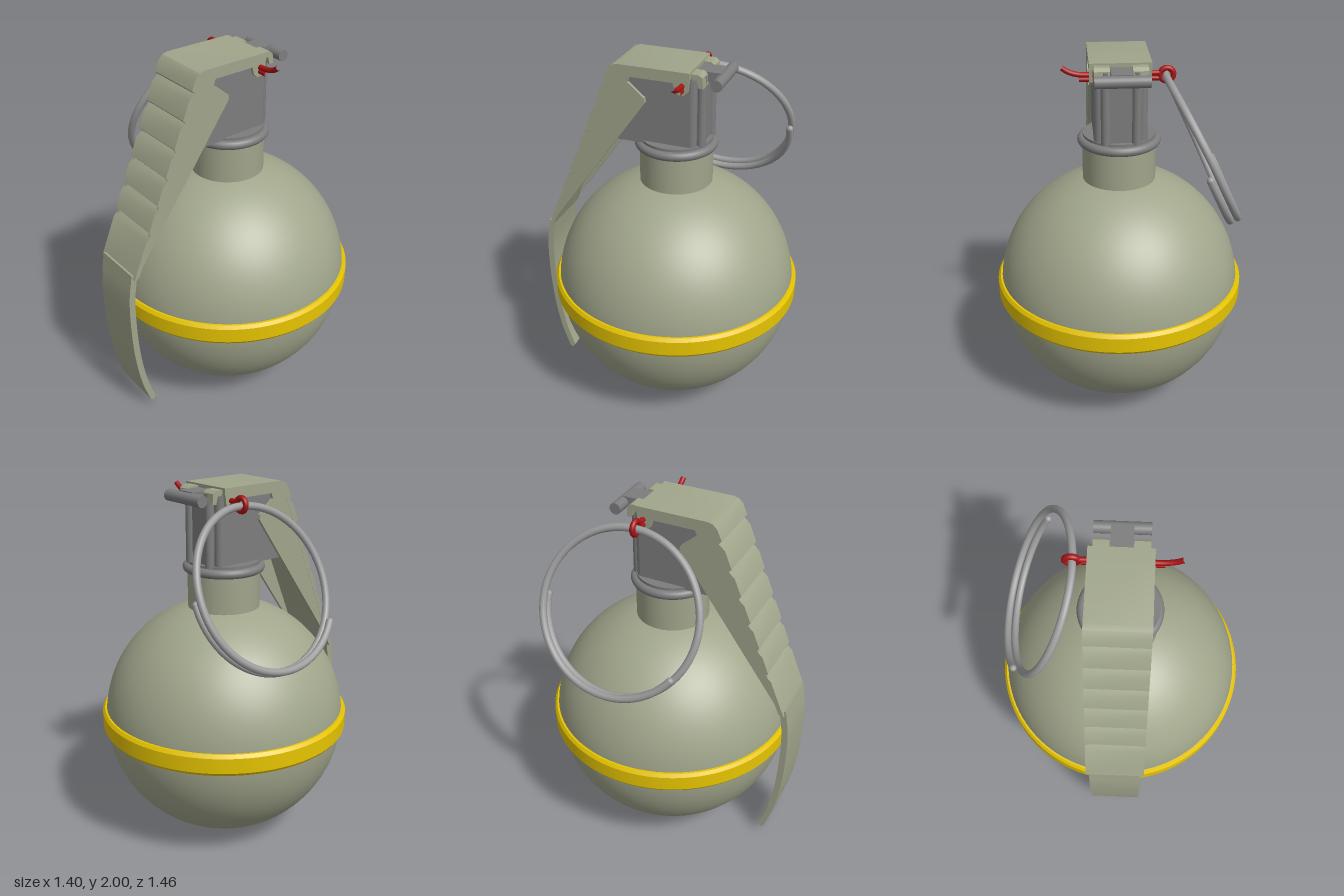
import * as THREE from 'three';
import { toCreasedNormals } from 'three/addons/utils/BufferGeometryUtils.js';

const mat = (color) => new THREE.MeshStandardMaterial({ color });
const olive = mat(0xa0a58b), grey = mat(0x7d7d7d), steel = mat(0x9c9c9c);
const red = mat(0xa81414), yellow = mat(0xe6c400);
const AXIS_Z = -0.03; // the round body sits slightly behind the origin

export function createModel() {
  const model = new THREE.Group();

  const add = (name, geo, material, x = 0, y = 0, z = 0) => {
    const mesh = new THREE.Mesh(geo, material);
    mesh.name = name;
    mesh.position.set(x, y, z);
    model.add(mesh);
    return mesh;
  };
  const box = (name, w, h, d, m, x, y, z) => add(name, new THREE.BoxGeometry(w, h, d), m, x, y, z);
  // Side profile of [z, y] points, extruded across x and centred on x = 0
  const sideExtrude = (points, width) => {
    const shape = new THREE.Shape(points.map(([z, y]) => new THREE.Vector2(z, y)));
    const geo = new THREE.ExtrudeGeometry(shape, { depth: width, bevelEnabled: false });
    geo.translate(0, 0, -width / 2).rotateY(-Math.PI / 2);
    return toCreasedNormals(geo, 0.5);
  };
  const lathe = (points) => toCreasedNormals(
    new THREE.LatheGeometry(points.map(([r, y]) => new THREE.Vector2(r, y)), 96), 0.3);
  const tube = (points, radius, segments) => new THREE.TubeGeometry(
    new THREE.CatmullRomCurve3(points.map((p) => new THREE.Vector3(...p))), segments, radius, 12);

  // Round body, belt and neck
  add('body', new THREE.SphereGeometry(0.677, 96, 64), olive, 0, 0.68, AXIS_Z);
  add('belt', lathe([[0.66, 0.625], [0.685, 0.625], [0.698, 0.643], [0.698, 0.727],
    [0.685, 0.745], [0.66, 0.745]]), yellow, 0, 0, AXIS_Z);
  add('neck', new THREE.CylinderGeometry(0.199, 0.199, 0.32, 64), olive, 0, 1.41, AXIS_Z);
  const gasket = add('gasket', new THREE.TorusGeometry(0.2, 0.025, 16, 72), grey, 0, 1.55, AXIS_Z);
  gasket.rotation.x = Math.PI / 2;
  add('neckPlate', new THREE.CylinderGeometry(0.195, 0.195, 0.03, 64), grey, 0, 1.573, AXIS_Z);

  // Fuze housing, overhanging the neck at the front, with a ribbed back
  add('fuzeHousing', sideExtrude([[0.26, 1.575], [0.26, 1.66], [0.17, 1.96], [-0.15, 1.96],
    [-0.15, 1.575]], 0.28), grey);
  box('fuzeBack', 0.2, 0.39, 0.06, grey, 0, 1.775, -0.17);
  for (const s of [-1, 1]) {
    add('fuzeRib', new THREE.CylinderGeometry(0.025, 0.025, 0.39, 16), grey, s * 0.08, 1.775, -0.195);
    add('fuzeCorner', new THREE.CylinderGeometry(0.03, 0.03, 0.39, 16), grey, s * 0.11, 1.775, -0.15);
  }

  // Hinge at the back of the fuze
  const hinge = add('hingePin', new THREE.CylinderGeometry(0.031, 0.031, 0.28, 24), grey, 0, 1.945, -0.287);
  hinge.rotation.z = Math.PI / 2;
  box('hingeArm', 0.11, 0.055, 0.14, grey, 0, 1.953, -0.215);

  // Lever: stepped strip over the top and down the front
  const slopeZ = (y) => 0.31 + (1.92 - y) * 0.406;
  const outer = [[-0.155, 2], [0.235, 2], [0.265, 1.992], [0.288, 1.97]];
  for (let i = 0; i < 6; i++) {
    const y = 1.9 - i * 0.141;
    outer.push([slopeZ(y + 0.012), y + 0.012], [slopeZ(y) - 0.02, y - 0.005],
      [slopeZ(y - 0.035), y - 0.035]);
  }
  outer.push([0.705, 0.95]);
  const inner = [[0.675, 0.96], [0.27, 1.925], [0.235, 1.965], [-0.155, 1.965]];
  add('leverStrip', sideExtrude([...outer, ...inner], 0.32), olive);

  // Lever side flanges with a lug for the safety pin, and the rear hooks
  const flange = [[-0.155, 1.985], [0.23, 1.985], [0.27, 1.955], [0.29, 1.915], [0.69, 0.955],
    [0.67, 0.99], [0.085, 1.81], [0.09, 1.835], [0.18, 1.91], [0.17, 1.94], [-0.065, 1.94],
    [-0.075, 1.9], [-0.095, 1.88], [-0.125, 1.88], [-0.145, 1.9]];
  for (const s of [-1, 1]) {
    add('leverFlange', sideExtrude(flange, 0.018), olive, s * 0.15);
    add('leverHook', sideExtrude([[-0.14, 1.99], [-0.195, 1.99], [-0.215, 1.975], [-0.22, 1.92],
      [-0.195, 1.92], [-0.185, 1.96], [-0.14, 1.96]], 0.08), olive, s * 0.098);
  }

  // Curved lower blade of the lever, following the body
  const spine = new THREE.CatmullRomCurve3([[0.692, 0.97], [0.713, 0.83], [0.717, 0.66],
    [0.703, 0.42], [0.668, 0.21], [0.621, 0.06]].map(([z, y]) => new THREE.Vector3(z, y, 0)));
  const blade = [[], []];
  for (let i = 0; i <= 24; i++) {
    const p = spine.getPoint(i / 24), t = spine.getTangent(i / 24);
    blade[0].push([p.x - t.y * 0.018, p.y + t.x * 0.018]);
    blade[1].unshift([p.x + t.y * 0.018, p.y - t.x * 0.018]);
  }
  const tip = [[0.622, 0.044]];
  add('leverBlade', sideExtrude([...blade[0], ...tip, ...blade[1]], 0.28), olive);

  // Safety pin: eye, two legs, one bent end
  const PIN_Z = -0.115;
  add('pinEye', new THREE.TorusGeometry(0.034, 0.015, 12, 32), red, -0.238, 1.925, PIN_Z);
  add('pinLongLeg', tube([[-0.21, 1.935, PIN_Z], [0, 1.933, PIN_Z], [0.16, 1.93, PIN_Z],
    [0.22, 1.934, PIN_Z], [0.265, 1.948, PIN_Z], [0.298, 1.97, PIN_Z]], 0.014, 40), red);
  add('pinShortLeg', tube([[-0.21, 1.907, PIN_Z], [0, 1.907, PIN_Z], [0.21, 1.907, PIN_Z]], 0.013, 10), red);

  // Pull ring: split wire ring hanging outward, overlapping itself along the bottom
  const up = new THREE.Vector3(0.42, 0.907, 0), out = new THREE.Vector3(-0.907, 0.42, 0);
  const ring = [];
  const START = Math.PI / 2, END = Math.PI * 3.3;
  for (let i = 0; i <= 80; i++) {
    const a = START + (END - START) * i / 80;
    const shift = 0.043 * THREE.MathUtils.smoothstep(a, Math.PI * 1.9, Math.PI * 2.5);
    const p = new THREE.Vector3(-0.412, 1.523, -0.12 - 0.432 * Math.sin(a))
      .addScaledVector(up, 0.432 * Math.cos(a)).addScaledVector(out, shift);
    ring.push(p.toArray());
  }
  add('pullRing', tube(ring, 0.02, 180), steel);
  for (const i of [0, 80]) {
    add('pullRingEnd', new THREE.SphereGeometry(0.02, 12, 8), steel, ...ring[i]);
  }

  return model;
}
